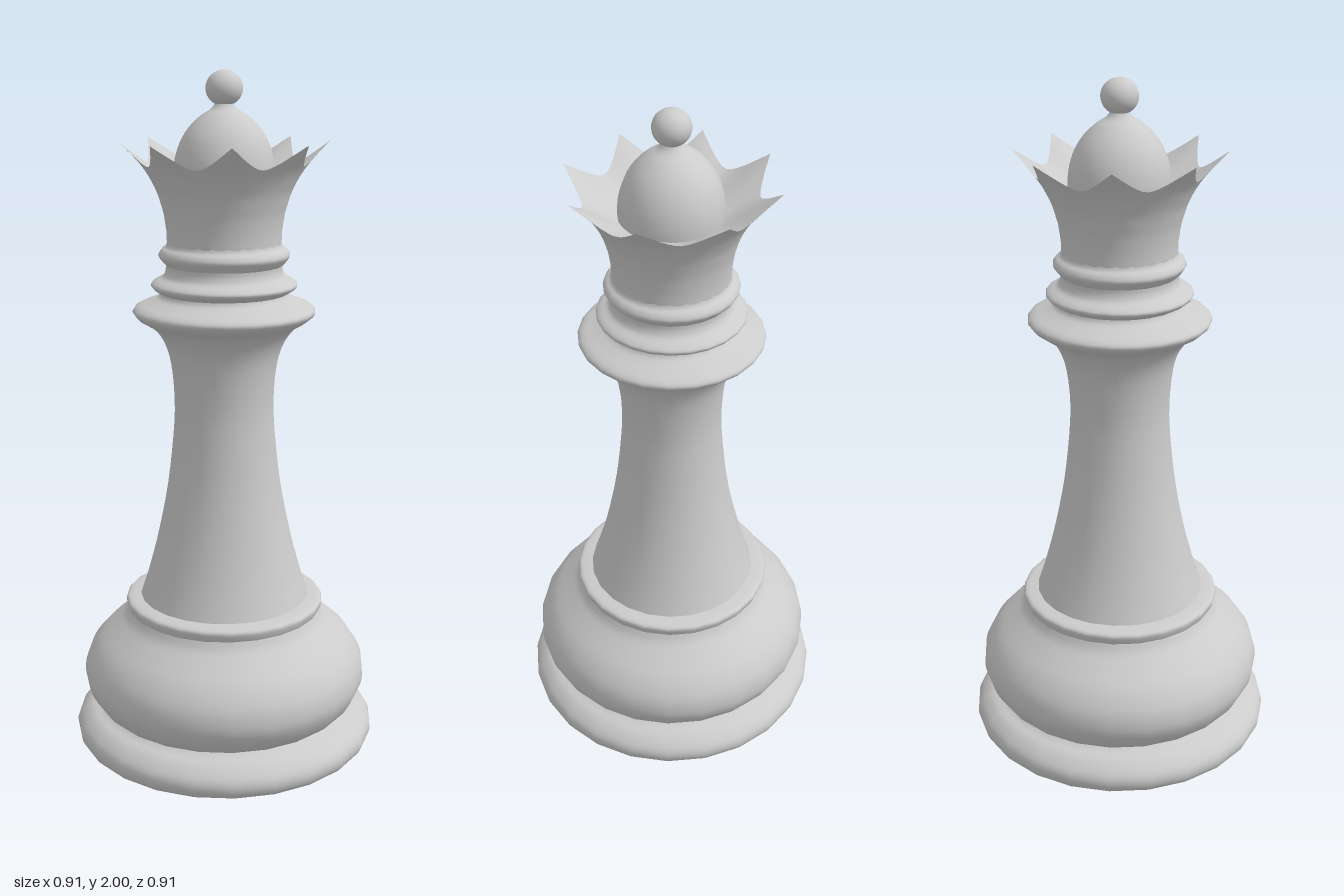
import * as THREE from 'three';

const material = new THREE.MeshStandardMaterial({ color: 0xcccccc, side: THREE.DoubleSide });
const SIDES = 24;
const TEETH = 8;

// Smooth curve through a few [radius, height] points
function smoothProfile(points, samples) {
  const curve = new THREE.SplineCurve(points.map(([r, y]) => new THREE.Vector2(r, y)));
  return curve.getPoints(samples).map(p => new THREE.Vector2(Math.max(p.x, 0), p.y));
}

function addMesh(group, name, geometry) {
  const mesh = new THREE.Mesh(geometry, material);
  mesh.name = name;
  group.add(mesh);
  return mesh;
}

function addTurned(group, name, points, samples = points.length * 3) {
  return addMesh(group, name, new THREE.LatheGeometry(smoothProfile(points, samples), SIDES));
}

// Closed rings of vertices; at(v, angle) gives [radius, height]
function ringSurface(rows, cols, at) {
  const positions = [], index = [];
  for (let i = 0; i <= rows; i++) {
    for (let j = 0; j < cols; j++) {
      const angle = (j / cols) * Math.PI * 2;
      const [r, y] = at(i / rows, angle);
      positions.push(r * Math.sin(angle), y, r * Math.cos(angle));
      if (i === rows) continue;
      const a = i * cols + j, b = i * cols + (j + 1) % cols;
      index.push(a, b, b + cols, a, b + cols, a + cols);
    }
  }
  const geometry = new THREE.BufferGeometry();
  geometry.setAttribute('position', new THREE.Float32BufferAttribute(positions, 3));
  geometry.setIndex(index);
  geometry.computeVertexNormals();
  return geometry;
}

// Flared crown wall, [height, radius]
const FLARE = [[1.52, 0.162], [1.56, 0.163], [1.61, 0.17], [1.67, 0.188], [1.72, 0.214],
  [1.75, 0.236], [1.78, 0.264], [1.81, 0.297]];
function flareRadius(y) {
  let k = 1;
  while (k < FLARE.length - 1 && y > FLARE[k][0]) k++;
  const [y0, r0] = FLARE[k - 1], [y1, r1] = FLARE[k];
  return THREE.MathUtils.mapLinear(y, y0, y1, r0, r1);
}

// Scalloped rim height: sharp at each tip, round in each valley
function rimHeight(angle) {
  const t = (angle * TEETH / (Math.PI * 2)) % 1;
  return 1.745 + 0.064 * Math.pow(Math.abs(2 * t - 1), 1.7);
}

export function createModel() {
  const group = new THREE.Group();
  group.name = 'chessQueen';

  // Foot
  addMesh(group, 'underside', new THREE.LatheGeometry(
    [new THREE.Vector2(0, 0), new THREE.Vector2(0.25, 0.004), new THREE.Vector2(0.42, 0.014)], SIDES));
  addTurned(group, 'foot', [[0.42, 0.014], [0.443, 0.025], [0.453, 0.052], [0.445, 0.08],
    [0.415, 0.108], [0.385, 0.12], [0.37, 0.13]]);

  // Rounded body with its flange
  addTurned(group, 'body', [[0.37, 0.125], [0.395, 0.148], [0.42, 0.195], [0.425, 0.235], [0.415, 0.28],
    [0.383, 0.33], [0.335, 0.375], [0.303, 0.405], [0.289, 0.43]]);
  addTurned(group, 'flange', [[0.289, 0.43], [0.293, 0.44], [0.296, 0.455], [0.288, 0.464], [0.265, 0.468],
    [0.245, 0.47]]);

  // Tapering stem
  addTurned(group, 'stem', [[0.252, 0.468], [0.226, 0.55], [0.195, 0.67], [0.166, 0.82], [0.148, 0.98],
    [0.145, 1.08], [0.154, 1.18], [0.172, 1.24], [0.2, 1.282], [0.225, 1.3]]);

  // Collar and neck rings
  addTurned(group, 'collar', [[0.215, 1.295], [0.245, 1.312], [0.262, 1.332], [0.25, 1.348],
    [0.215, 1.362], [0.188, 1.375], [0.18, 1.39]]);
  addTurned(group, 'lowerRing', [[0.18, 1.385], [0.202, 1.398], [0.209, 1.41], [0.198, 1.421],
    [0.176, 1.433], [0.167, 1.45], [0.166, 1.465]]);
  addTurned(group, 'upperRing', [[0.166, 1.465], [0.178, 1.478], [0.187, 1.493], [0.18, 1.508],
    [0.167, 1.518], [0.162, 1.53]]);

  // Pointed crown: outer wall and inner bowl meet at the scalloped rim
  const crown = new THREE.Group();
  crown.name = 'crown';
  group.add(crown);
  addMesh(crown, 'crownWall', ringSurface(14, TEETH * 12, (v, angle) => {
    const y = THREE.MathUtils.lerp(1.52, rimHeight(angle), v);
    return [flareRadius(y), y];
  }));
  addMesh(crown, 'crownBowl', ringSurface(8, TEETH * 12, (v, angle) => {
    const rim = rimHeight(angle), w = 1 - v;
    return [THREE.MathUtils.lerp(0.135, flareRadius(rim), w), 1.7 + (rim - 1.7) * Math.pow(w, 1.1)];
  }));

  // Dome and finial ball
  addTurned(group, 'dome', [[0.142, 1.69], [0.142, 1.73], [0.135, 1.773], [0.119, 1.815], [0.095, 1.85],
    [0.065, 1.878], [0.038, 1.895], [0.026, 1.91], [0.024, 1.925]]);
  const ball = addMesh(group, 'finialBall', new THREE.SphereGeometry(0.052, 24, 16));
  ball.scale.y = 0.94;
  ball.position.y = 1.951;

  return group;
}
